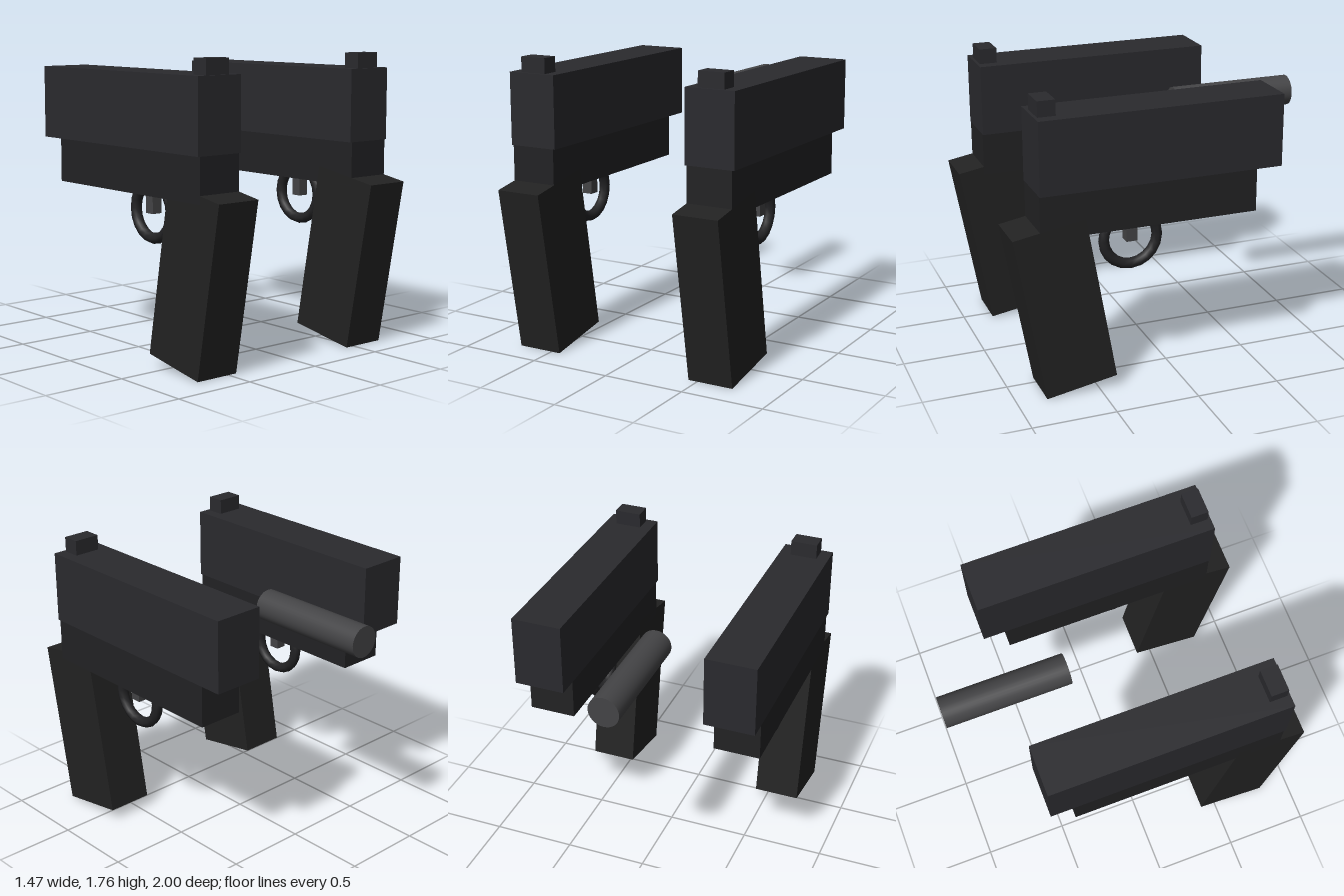
import * as THREE from 'three';

const mat = (color) => new THREE.MeshStandardMaterial({ color });

export function createModel() {
  const model = new THREE.Group();
  const slideMat = mat(0x2a2a2e);
  const frameMat = mat(0x222224);
  const gripMat = mat(0x222222);
  const steelMat = mat(0x444446);

  const add = (parent, name, geometry, material, x, y, z) => {
    const mesh = new THREE.Mesh(geometry, material);
    mesh.name = name;
    mesh.position.set(x, y, z);
    parent.add(mesh);
    return mesh;
  };
  const box = (w, h, d) => new THREE.BoxGeometry(w, h, d);

  // One pistol, muzzle towards -z
  const createPistol = (name, x) => {
    const pistol = new THREE.Group();
    pistol.name = name;
    pistol.position.x = x;

    add(pistol, 'slide', box(0.305, 0.43, 1.455), slideMat, 0, 1.455, 0.113);
    add(pistol, 'frame', box(0.28, 0.26, 1.305), frameMat, 0, 1.11, 0.188);
    add(pistol, 'rearSight', box(0.163, 0.11, 0.105), slideMat, 0, 1.706, 0.77);

    // Grip raked so that its foot sits forward of its top
    const grip = add(pistol, 'grip', box(0.28, 1.016, 0.432), gripMat, 0, 0.538, 0.698);
    grip.rotation.x = THREE.MathUtils.degToRad(10);

    // Ring guard, its upper part sunk into the frame
    const guard = add(pistol, 'triggerGuard', new THREE.TorusGeometry(0.163, 0.0325, 8, 20), frameMat, 0, 0.87, 0.26);
    guard.rotation.y = Math.PI / 2;
    add(pistol, 'trigger', box(0.065, 0.16, 0.065), steelMat, 0, 0.935, 0.262);
    return pistol;
  };

  model.add(createPistol('leftPistol', 0.583), createPistol('rightPistol', -0.583));

  // Loose barrel floating between the pistols
  const barrel = add(model, 'barrel', new THREE.CylinderGeometry(0.093, 0.093, 0.76, 32), steelMat, 0, 1.455, -0.62);
  barrel.rotation.x = Math.PI / 2;

  return model;
}
